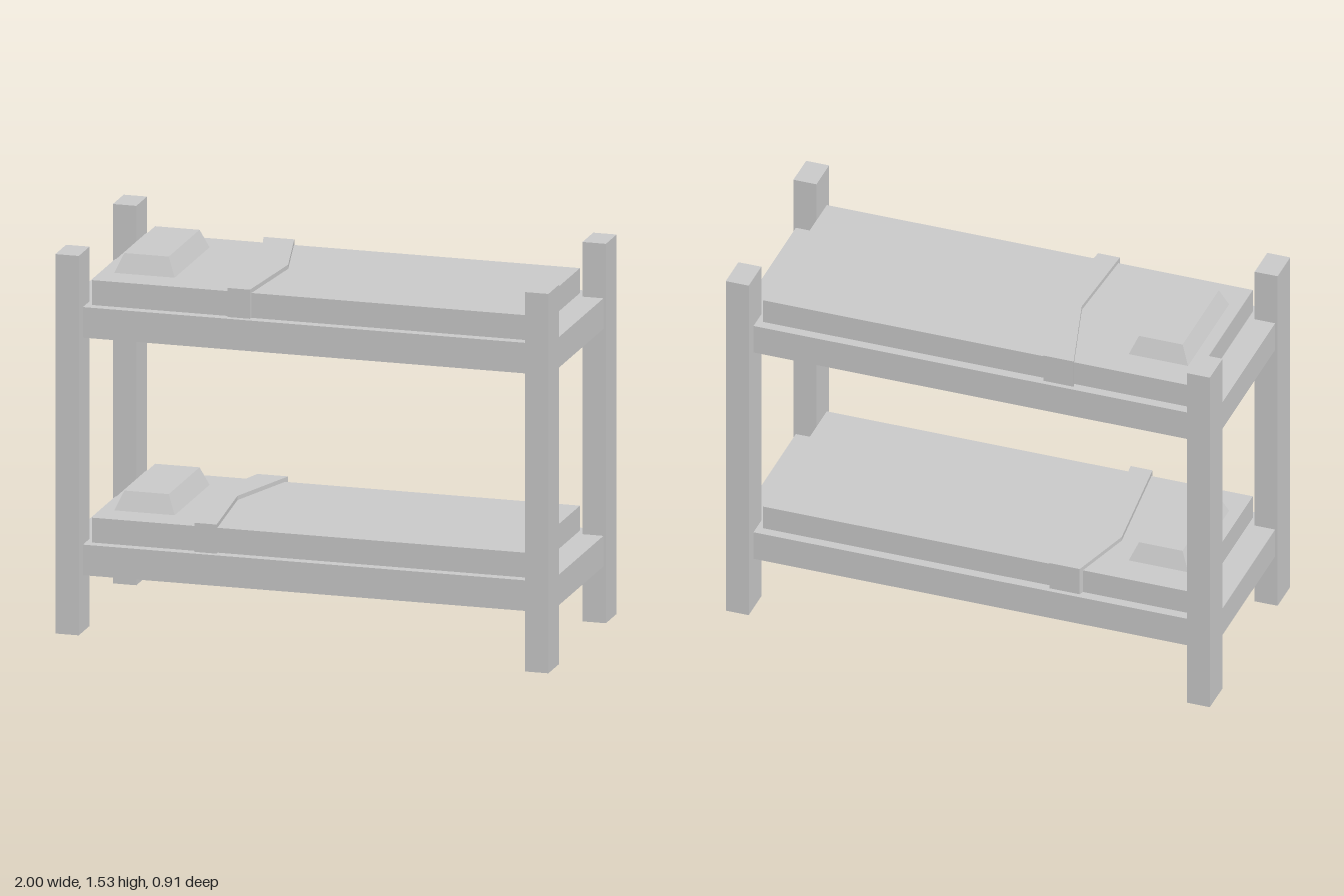
import * as THREE from 'three';

const material = new THREE.MeshStandardMaterial({ color: 0xcccccc, flatShading: true });

function addMesh(parent, name, geometry, x = 0, y = 0, z = 0) {
  const mesh = new THREE.Mesh(geometry, material);
  mesh.name = name;
  mesh.position.set(x, y, z);
  parent.add(mesh);
  return mesh;
}

// Box whose base sits at y = 0
function standingBox(w, h, d) {
  return new THREE.BoxGeometry(w, h, d).translate(0, h / 2, 0);
}

// Pillow: a box with its top face drawn inwards
function pillowGeometry(w, h, d, topW, topD) {
  const geometry = standingBox(w, h, d);
  const pos = geometry.attributes.position;
  for (let i = 0; i < pos.count; i++) {
    if (pos.getY(i) > h / 2) {
      pos.setX(i, Math.sign(pos.getX(i)) * topW / 2);
      pos.setZ(i, Math.sign(pos.getZ(i)) * topD / 2);
    }
  }
  geometry.computeVertexNormals();
  return geometry;
}

// Blanket fold: a bent band wrapped over the mattress, outlined in [x, z]
function bandGeometry(outline, height) {
  const shape = new THREE.Shape(outline.map(([x, z]) => new THREE.Vector2(x, -z)));
  return new THREE.ExtrudeGeometry(shape, { depth: height, bevelEnabled: false }).rotateX(-Math.PI / 2);
}

function createBunk(name, y, bandOutline) {
  const bunk = new THREE.Group();
  bunk.name = name;
  bunk.position.y = y;
  addMesh(bunk, 'bedFrame', standingBox(1.98, 0.123, 0.8));
  addMesh(bunk, 'mattress', standingBox(1.76, 0.1, 0.72), 0, 0.123, 0);
  addMesh(bunk, 'pillow', pillowGeometry(0.245, 0.075, 0.465, 0.18, 0.41), -0.706, 0.223, 0);
  addMesh(bunk, 'blanketFold', bandGeometry(bandOutline, 0.117), 0, 0.123, 0);
  return bunk;
}

export function createModel() {
  const model = new THREE.Group();
  model.name = 'bunkBed';

  // Four corner posts
  for (const sx of [-1, 1]) {
    for (const sz of [-1, 1]) {
      const name = (sz > 0 ? 'front' : 'back') + (sx > 0 ? 'Left' : 'Right') + 'Post';
      addMesh(model, name, standingBox(0.095, 1.527, 0.143), sx * 0.9525, 0, sz * 0.383);
    }
  }

  // Two bunks, each with its own bend in the blanket fold
  model.add(createBunk('lowerBunk', 0.228, [
    [-0.46, 0.375], [-0.37, 0.375], [-0.415, -0.05],
    [-0.31, -0.38], [-0.435, -0.38], [-0.51, -0.11],
  ]));
  model.add(createBunk('upperBunk', 1.184, [
    [-0.325, 0.375], [-0.235, 0.375], [-0.2, -0.02],
    [-0.285, -0.38], [-0.41, -0.38], [-0.305, 0],
  ]));
  return model;
}
